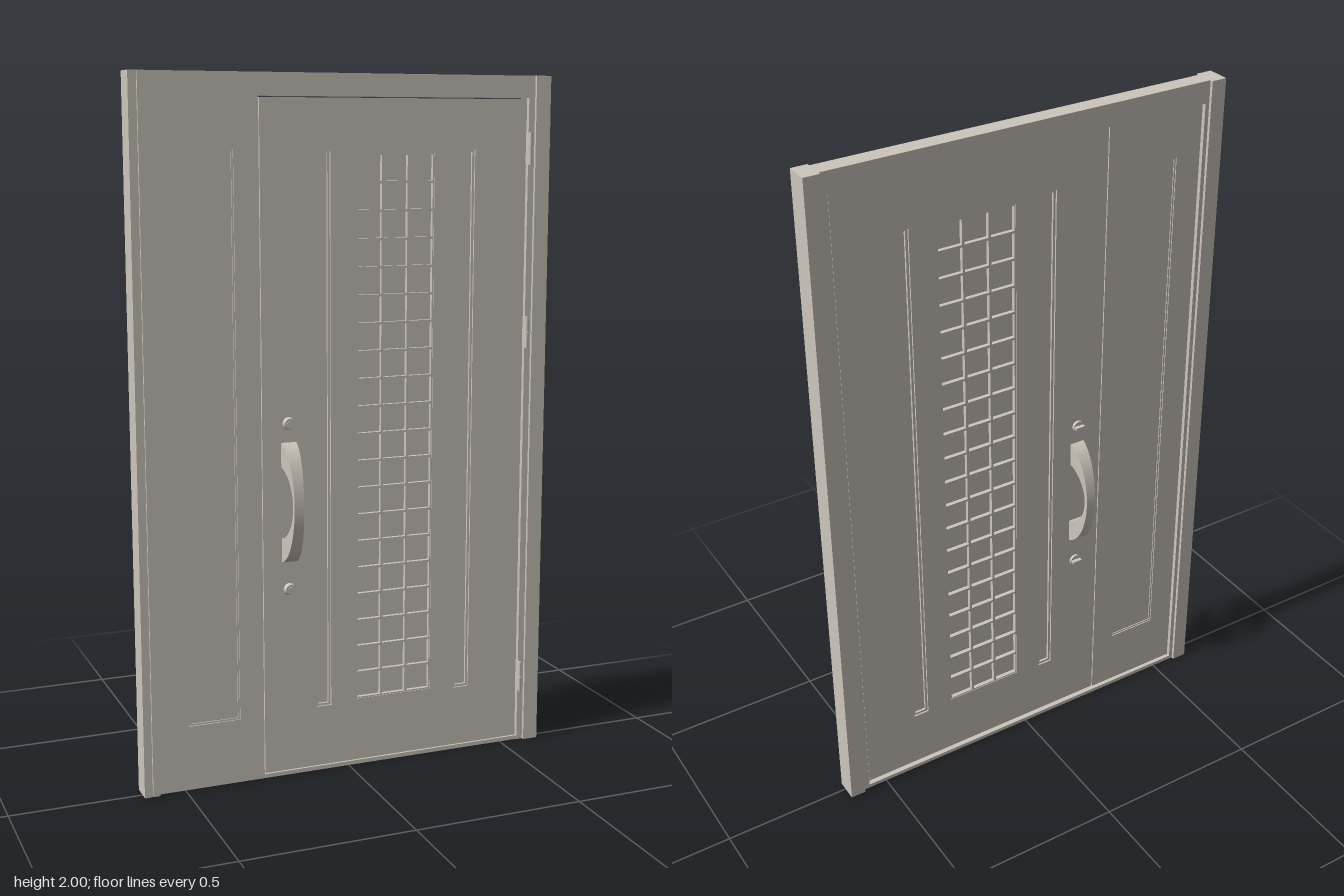
import * as THREE from 'three';

export function createModel() {
  const model = new THREE.Group();
  model.name = 'entranceDoor';
  const paint = new THREE.MeshStandardMaterial({ color: 0xcdc6bc });
  paint.name = 'warmGreyPaint';

  const add = (name, geometry, parent = model) => {
    const mesh = new THREE.Mesh(geometry, paint);
    mesh.name = name;
    parent.add(mesh);
    return mesh;
  };
  // Box given by its limits
  const box = (name, x0, x1, y0, y1, z0, z1, parent) => {
    const g = new THREE.BoxGeometry(x1 - x0, y1 - y0, z1 - z0);
    g.translate((x0 + x1) / 2, (y0 + y1) / 2, (z0 + z1) / 2);
    return add(name, g, parent);
  };
  const corners = ([x0, x1, y0, y1]) => [[x0, y0], [x1, y0], [x1, y1], [x0, y1]].map(p => new THREE.Vector2(...p));
  // Flat slab with rectangular openings
  const slab = (name, outer, holes, z0, z1, parent) => {
    const shape = new THREE.Shape(corners(outer));
    holes.forEach(h => shape.holes.push(new THREE.Path(corners(h).reverse())));
    const g = new THREE.ExtrudeGeometry(shape, { depth: z1 - z0, bevelEnabled: false });
    g.translate(0, 0, z0);
    return add(name, g, parent);
  };
  const inset = ([x0, x1, y0, y1], d) => [x0 + d, x1 - d, y0 + d, y1 - d];

  // Frame: jambs, header, sill and the strip beside the hinges
  const frame = new THREE.Group();
  frame.name = 'frame';
  model.add(frame);
  box('rightJambOuter', -0.622, -0.6, 0, 2, -0.042, 0.026, frame);
  box('rightJambInner', -0.597, -0.577, 0, 2, -0.042, 0.026, frame);
  box('rightJambCore', -0.6, -0.597, 0, 2, -0.042, 0.019, frame);
  box('leftJamb', 0.576, 0.622, 0, 2, -0.042, 0.026, frame);
  box('hingeStrip', 0.557, 0.576, 0, 1.937, -0.033, 0.017, frame);
  box('header', -0.577, 0.576, 1.937, 2, -0.033, 0.017, frame);
  box('sill', -0.577, 0.557, 0, 0.012, -0.033, 0.015, frame);
  box('rightStop', -0.577, -0.565, 0.012, 1.937, -0.033, -0.02, frame);

  // Fixed side panel with a shallow recess on both faces
  const sideHole = [-0.487, -0.335, 0.19, 1.797];
  const side = new THREE.Group();
  side.name = 'sidePanel';
  model.add(side);
  slab('sidePanelBody', [-0.577, -0.263, 0.004, 1.937], [sideHole], -0.021, 0.017, side);
  box('sidePanelInfill', ...sideHole, -0.015, 0.01, side);
  slab('sidePanelBead', sideHole, [inset(sideHole, 0.005)], -0.018, 0.0135, side);

  // Moving leaf with two tall slots and a lattice window
  const zBack = -0.021, zFront = 0.015;
  const slots = [[-0.1, -0.055, 0.195, 1.793], [0.34, 0.388, 0.195, 1.793]];
  const win = [0.025, 0.261, 0.203, 1.783];
  const leaf = new THREE.Group();
  leaf.name = 'doorLeaf';
  model.add(leaf);
  slab('leafBody', [-0.26, 0.551, 0.015, 1.934], [...slots, win], zBack, zFront, leaf);
  slots.forEach(s => {
    box('slotInfill', ...s, -0.009, 0.003, leaf);
    slab('slotBead', s, [inset(s, 0.007)], -0.016, 0.01, leaf);
  });
  box('windowPane', ...win, -0.007, 0.001, leaf);

  // Lattice of three columns and twenty rows
  const bar = 0.0035, columns = 3, rows = 20;
  const latticeZ = [zBack + 0.002, zFront - 0.002];
  slab('latticeBorder', win, [inset(win, 0.004)], ...latticeZ, leaf);
  for (let i = 1; i < columns; i++) {
    const x = win[0] + (win[1] - win[0]) * i / columns;
    box('latticeUpright', x - bar, x + bar, win[2], win[3], ...latticeZ, leaf);
  }
  for (let i = 1; i < rows; i++) {
    const y = win[2] + (win[3] - win[2]) * i / rows;
    box('latticeRail', win[0], win[1], y - bar, y + bar, ...latticeZ, leaf);
  }

  // Bow handle: four-cornered sections swept between an outer and an inner arc
  const handleGeometry = () => {
    const n = 28, pos = [], idx = [];
    const section = i => {
      const s = -1 + 2 * i / n, a = s * 1.47, w = 0.014 + 0.009 * Math.pow(Math.abs(s), 1.5);
      const yo = 0.813 + 0.175 * Math.sin(a), zo = 0.1 * Math.cos(a);
      const yi = 0.813 + 0.104 * Math.sin(a), zi = 0.088 * Math.cos(a);
      return [[-w, yo, zo], [w, yo, zo], [w, yi, zi], [-w, yi, zi]];
    };
    // Each side gets its own vertices, so long edges stay sharp
    for (let k = 0; k < 4; k++) {
      const base = pos.length / 3;
      for (let i = 0; i <= n; i++) {
        const c = section(i);
        pos.push(...c[k], ...c[(k + 1) % 4]);
        if (i < n) {
          const q = base + i * 2;
          idx.push(q, q + 1, q + 2, q + 1, q + 3, q + 2);
        }
      }
    }
    const g = new THREE.BufferGeometry();
    g.setAttribute('position', new THREE.Float32BufferAttribute(pos, 3));
    g.setIndex(idx);
    g.computeVertexNormals();
    return g;
  };
  const bow = handleGeometry();
  const frontHandle = add('frontHandle', bow);
  frontHandle.position.x = -0.182;
  const backHandle = add('backHandle', bow);
  backHandle.position.x = -0.182;
  backHandle.rotation.y = Math.PI;

  // Locks: key cylinder in front, thumb turn behind
  for (const y of [0.56, 1.04]) {
    const lock = new THREE.Group();
    lock.name = 'lock';
    lock.position.set(-0.182, y, 0);
    model.add(lock);
    const rose = add('keyRose', new THREE.CylinderGeometry(0.014, 0.018, 0.01, 24).rotateX(Math.PI / 2), lock);
    rose.position.z = zFront + 0.005;
    const core = add('keyCylinder', new THREE.CylinderGeometry(0.008, 0.008, 0.012, 20).rotateX(Math.PI / 2), lock);
    core.position.z = zFront + 0.006;
    const plate = add('turnRose', new THREE.CylinderGeometry(0.018, 0.016, 0.006, 24).rotateX(Math.PI / 2), lock);
    plate.position.z = zBack - 0.003;
    box('thumbTurn', -0.015, 0.015, -0.004, 0.004, zBack - 0.018, zBack, lock);
  }

  // Hinges: two stacked knuckles on a thin leaf
  for (const y of [0.21, 1.265, 1.795]) {
    const hinge = new THREE.Group();
    hinge.name = 'hinge';
    hinge.position.set(0.552, y, 0);
    model.add(hinge);
    box('hingeLeaf', -0.002, 0.002, -0.046, 0.046, -0.005, 0.036, hinge);
    for (const dy of [-0.0235, 0.0235]) {
      const knuckle = add('hingeKnuckle', new THREE.CylinderGeometry(0.005, 0.005, 0.045, 14), hinge);
      knuckle.position.set(0, dy, 0.039);
    }
  }
  return model;
}
